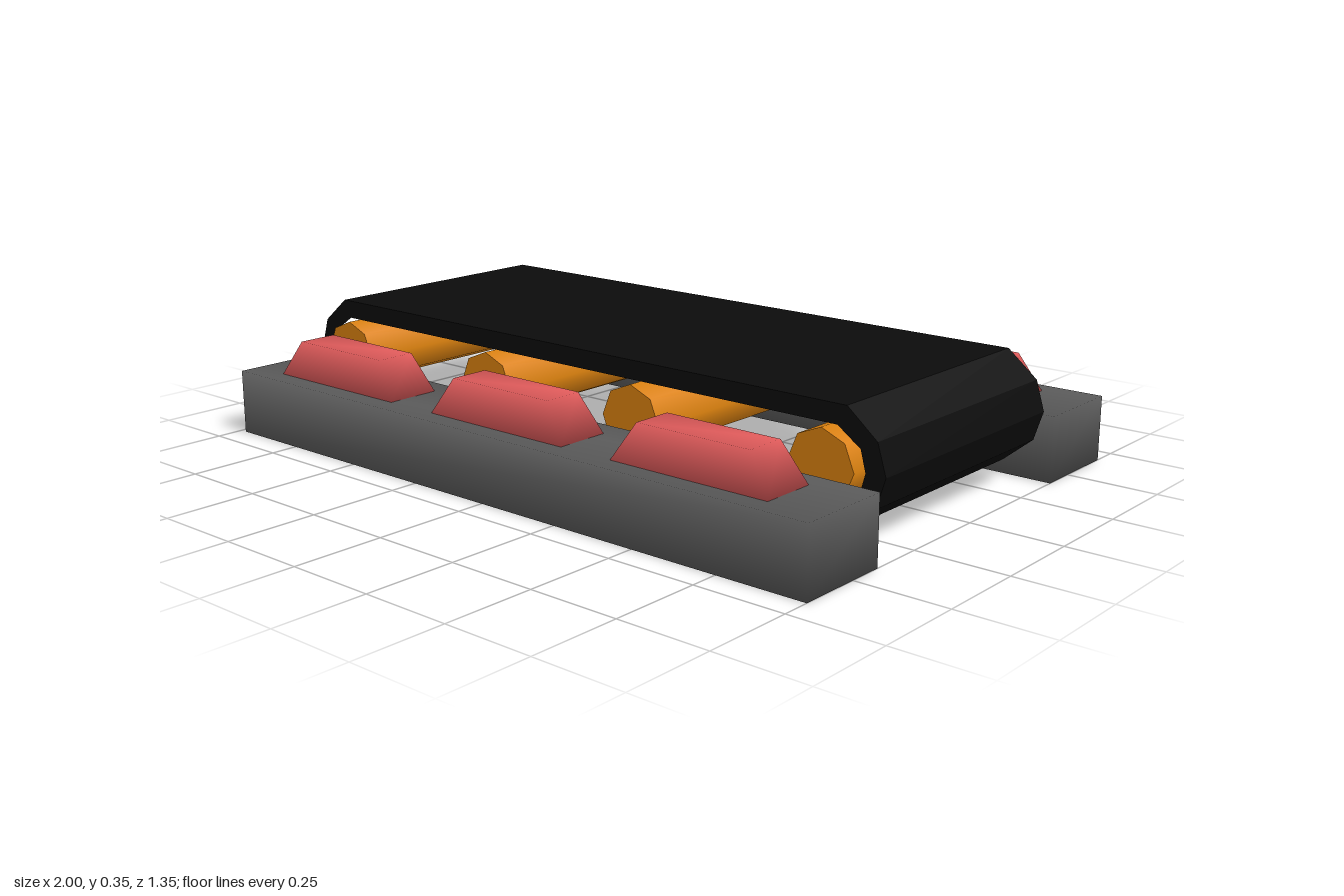
import * as THREE from 'three';
import { mergeVertices } from 'three/addons/utils/BufferGeometryUtils.js';

const mat = (name, color) => Object.assign(new THREE.MeshStandardMaterial({ color }), { name });

// Box with an optionally smaller top and normals blended over its edges
function softBlock(w, h, d, topW = w, topD = d) {
  let geo = new THREE.BoxGeometry(w, h, d);
  geo.deleteAttribute('normal');
  geo.deleteAttribute('uv');
  geo = mergeVertices(geo);
  const p = geo.attributes.position;
  for (let i = 0; i < p.count; i++) {
    if (p.getY(i) > 0) {
      p.setX(i, p.getX(i) * topW / w);
      p.setZ(i, p.getZ(i) * topD / d);
    }
  }
  geo.computeVertexNormals();
  return geo;
}

// Closed loop, symmetric about y = 0, from the points of its upper half
function loopPoints(upper) {
  const lower = upper.filter(([, y]) => y > 0).reverse().map(([x, y]) => [x, -y]);
  return [...upper, ...lower].map(([x, y]) => new THREE.Vector2(x, y));
}

export function createModel() {
  const model = new THREE.Group();
  model.name = 'conveyor';
  const rubber = mat('black rubber', 0x0b0b0b);
  const steel = mat('grey frame', 0x5c5c5c);
  const orange = mat('orange roller', 0xdc820f);
  const red = mat('red bumper', 0xe25c5c);

  const add = (name, geo, material, x, y, z) => {
    const mesh = new THREE.Mesh(geo, material);
    mesh.name = name;
    mesh.position.set(x, y, z);
    model.add(mesh);
  };

  // Belt: hollow loop running around the rollers
  const beltShape = new THREE.Shape(loopPoints(
    [[-1, 0], [-0.975, 0.08], [-0.89, 0.15], [0.88, 0.15], [0.965, 0.08], [0.99, 0]]));
  beltShape.holes.push(new THREE.Path(loopPoints(
    [[-0.945, 0], [-0.93, 0.055], [-0.865, 0.1], [0.855, 0.1], [0.92, 0.055], [0.935, 0]])));
  const beltGeo = new THREE.ExtrudeGeometry(beltShape, { depth: 0.73, bevelEnabled: false });
  add('belt', beltGeo, rubber, 0, 0.2, -0.365);

  // Rollers: eight-sided drums poking out on both sides of the belt
  const rollerGeo = new THREE.CylinderGeometry(0.093, 0.093, 0.78, 8).rotateX(Math.PI / 2);
  for (const x of [-0.842, -0.273, 0.248, 0.828]) add('roller', rollerGeo, orange, x, 0.202, 0);

  // Side rails with three tapered bumpers each
  const railGeo = softBlock(1.98, 0.18, 0.27);
  const bumperGeo = softBlock(0.465, 0.1, 0.153, 0.335, 0.11);
  for (const side of [1, -1]) {
    add('sideRail', railGeo, steel, 0.01, 0.09, side * 0.538);
    for (const x of [-0.63, -0.007, 0.618]) add('bumper', bumperGeo, red, x, 0.23, side * 0.541);
  }
  return model;
}
